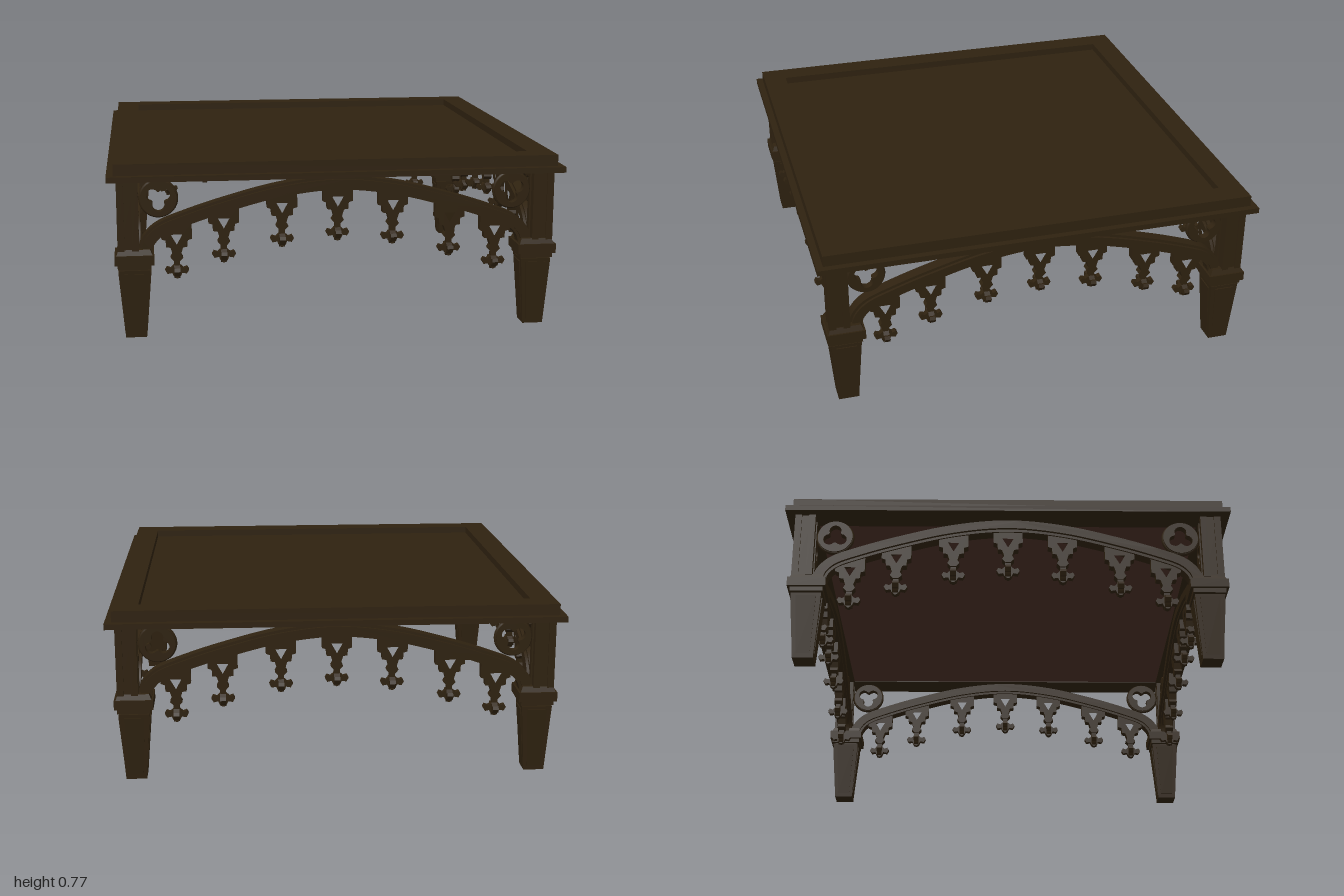
import * as THREE from 'three';
import { toCreasedNormals } from 'three/addons/utils/BufferGeometryUtils.js';

const wood = new THREE.MeshStandardMaterial({ color: 0x2f2210 });
wood.name = 'dark wood';
const ceilingWood = new THREE.MeshStandardMaterial({ color: 0x4a3026 });
ceilingWood.name = 'reddish ceiling wood';

function add(parent, name, geometry, x = 0, y = 0, z = 0, material = wood) {
  const mesh = new THREE.Mesh(geometry, material);
  mesh.name = name;
  mesh.position.set(x, y, z);
  parent.add(mesh);
  return mesh;
}

// Box whose bottom is scaled against its top; base sits at y = 0
function taperedBox(w, h, d, taper) {
  const g = new THREE.BoxGeometry(w, h, d).translate(0, h / 2, 0);
  const p = g.attributes.position;
  for (let i = 0; i < p.count; i++) {
    if (p.getY(i) < h / 2) {
      p.setX(i, p.getX(i) * taper);
      p.setZ(i, p.getZ(i) * taper);
    }
  }
  g.computeVertexNormals();
  return g;
}

// Flat shape given thickness, centred on z = 0
function plate(shape, depth, curveSegments = 14) {
  const g = new THREE.ExtrudeGeometry(shape, { depth, bevelEnabled: false, curveSegments });
  return toCreasedNormals(g.translate(0, 0, -depth / 2), 0.6);
}

// Square frame lying flat, base at y = 0
function squareFrame(outer, inner, height) {
  const square = (s) => [[-s, -s], [s, -s], [s, s], [-s, s]].map(([x, y]) => new THREE.Vector2(x, y));
  const shape = new THREE.Shape(square(outer));
  shape.holes.push(new THREE.Path(square(inner).reverse()));
  return new THREE.ExtrudeGeometry(shape, { depth: height, bevelEnabled: false }).rotateX(-Math.PI / 2);
}

// Arch centre line, mirrored about x = 0
const halfArch = [[-0.842, 0.38], [-0.825, 0.43], [-0.775, 0.478], [-0.68, 0.517], [-0.5, 0.575], [-0.25, 0.638]];
const archPoints = [...halfArch, [0, 0.664], ...halfArch.map(([x, y]) => [-x, y]).reverse()];
const archCurve = new THREE.SplineCurve(archPoints.map(([x, y]) => new THREE.Vector2(x, y)));

function archBand(halfThickness, depth) {
  const upper = [], lower = [], n = 72;
  for (let i = 0; i <= n; i++) {
    const p = archCurve.getPoint(i / n), t = archCurve.getTangent(i / n);
    const normal = new THREE.Vector2(-t.y, t.x).multiplyScalar(halfThickness);
    upper.push(p.clone().add(normal));
    lower.push(p.clone().sub(normal));
  }
  return plate(new THREE.Shape([...lower, ...upper.reverse()]), depth);
}

// Symmetrical outline from its right half, top to bottom
function mirroredShape(half) {
  const right = half.map(([x, y]) => new THREE.Vector2(x, y));
  const left = half.map(([x, y]) => new THREE.Vector2(-x, y)).reverse();
  return new THREE.Shape([...right, ...left]);
}

function pendantGeometries() {
  const bracket = mirroredShape([[0.066, 0.02], [0.066, -0.05], [0.048, -0.056], [0.046, -0.085],
    [0.027, -0.088], [0.018, -0.118], [0.027, -0.134], [0.012, -0.15]]);
  bracket.holes.push(new THREE.Path([[-0.025, -0.03], [0.025, -0.03], [0, -0.075]]
    .map(([x, y]) => new THREE.Vector2(x, y))));
  const finial = mirroredShape([[0.012, -0.14], [0.012, -0.168], [0.028, -0.182], [0.044, -0.176],
    [0.052, -0.19], [0.042, -0.207], [0.022, -0.203], [0.016, -0.217], [0.004, -0.228]]);
  return { bracket: plate(bracket, 0.04), finial: plate(finial, 0.026) };
}

// Disc pierced by a trefoil
function roundelGeometry() {
  const shape = new THREE.Shape();
  shape.absarc(0, 0, 0.078, 0, Math.PI * 2, false);
  const lobes = [];
  for (let k = 0; k < 3; k++) {
    const a = -Math.PI / 2 + k * Math.PI * 2 / 3;
    for (let i = 0; i <= 10; i++) {
      const b = a + (i / 10 - 0.5) * 4;
      lobes.push(new THREE.Vector2(0.03 * Math.cos(a) + 0.027 * Math.cos(b), 0.03 * Math.sin(a) + 0.027 * Math.sin(b)));
    }
  }
  shape.holes.push(new THREE.Path(lobes));
  return plate(shape, 0.035, 20);
}

export function createModel() {
  const model = new THREE.Group();
  model.name = 'canopy';

  // Roof: two stepped frames, sunken top panel and ceiling
  add(model, 'lowerCornice', squareFrame(1, 0.86, 0.025), 0, 0.7, 0);
  add(model, 'upperCornice', squareFrame(0.97, 0.86, 0.05), 0, 0.725, 0);
  add(model, 'topPanel', new THREE.BoxGeometry(1.72, 0.03, 1.72), 0, 0.727, 0);
  add(model, 'ceiling', new THREE.BoxGeometry(1.72, 0.008, 1.72), 0, 0.708, 0, ceilingWood);

  // Arcade sides
  const archCore = archBand(0.03, 0.055);
  const archMoulding = archBand(0.018, 0.08);
  const { bracket, finial } = pendantGeometries();
  const roundel = roundelGeometry();
  const rim = new THREE.TorusGeometry(0.074, 0.012, 8, 36);
  const pendants = [[0, 0.632], [0.245, 0.61], [0.5, 0.548], [0.705, 0.482]];

  for (let s = 0; s < 4; s++) {
    const side = new THREE.Group();
    side.name = 'arcadeSide';
    side.rotation.y = s * Math.PI / 2;
    model.add(side);
    add(side, 'arch', archCore, 0, 0, 0.9);
    add(side, 'archMoulding', archMoulding, 0, 0, 0.9);

    for (const m of [-1, 1]) {
      for (const [x, y] of pendants) {
        if (x === 0 && m < 0) continue;
        add(side, 'pendantBracket', bracket, m * x, y, 0.9);
        add(side, 'pendantFinial', finial, m * x, y, 0.9);
        add(side, 'pendantCrossFinial', finial, m * x, y, 0.9).rotation.y = Math.PI / 2;
      }
      const disc = add(side, 'roundel', roundel, m * 0.78, 0.612, 0.9);
      if (s > 1 && !(s === 2 && m > 0)) disc.rotation.z = Math.PI;
      add(side, 'roundelRim', rim, m * 0.78, 0.612, 0.9);
    }
  }

  // Corner legs with collars and grooved posts
  const leg = taperedBox(0.134, 0.305, 0.134, 0.68);
  const legPanelX = taperedBox(0.09, 0.27, 0.142, 0.68);
  const legPanelZ = taperedBox(0.142, 0.27, 0.09, 0.68);
  for (const sx of [-1, 1]) {
    for (const sz of [-1, 1]) {
      const corner = new THREE.Group();
      corner.name = 'cornerLeg';
      corner.position.set(sx * 0.888, 0, sz * 0.888);
      model.add(corner);
      add(corner, 'legShaft', leg);
      add(corner, 'legPanel', legPanelX, 0, 0.02, 0);
      add(corner, 'legPanel', legPanelZ, 0, 0.02, 0);
      add(corner, 'collarNeck', new THREE.BoxGeometry(0.115, 0.02, 0.115), 0, 0.308, 0);
      add(corner, 'collarBase', new THREE.BoxGeometry(0.145, 0.022, 0.145), 0, 0.322, 0);
      add(corner, 'collarBlock', new THREE.BoxGeometry(0.17, 0.042, 0.17), 0, 0.353, 0);
      add(corner, 'collarTop', taperedBox(0.135, 0.024, 0.135, 1.15), 0, 0.374, 0);
      const px = sx * 0.025, pz = sz * 0.025;
      add(corner, 'postCore', new THREE.BoxGeometry(0.078, 0.31, 0.078), px, 0.547, pz);
      for (const ox of [-1, 1]) {
        for (const oz of [-1, 1]) {
          add(corner, 'postEdge', new THREE.BoxGeometry(0.03, 0.31, 0.03), px + ox * 0.031, 0.547, pz + oz * 0.031);
        }
      }
    }
  }
  return model;
}
